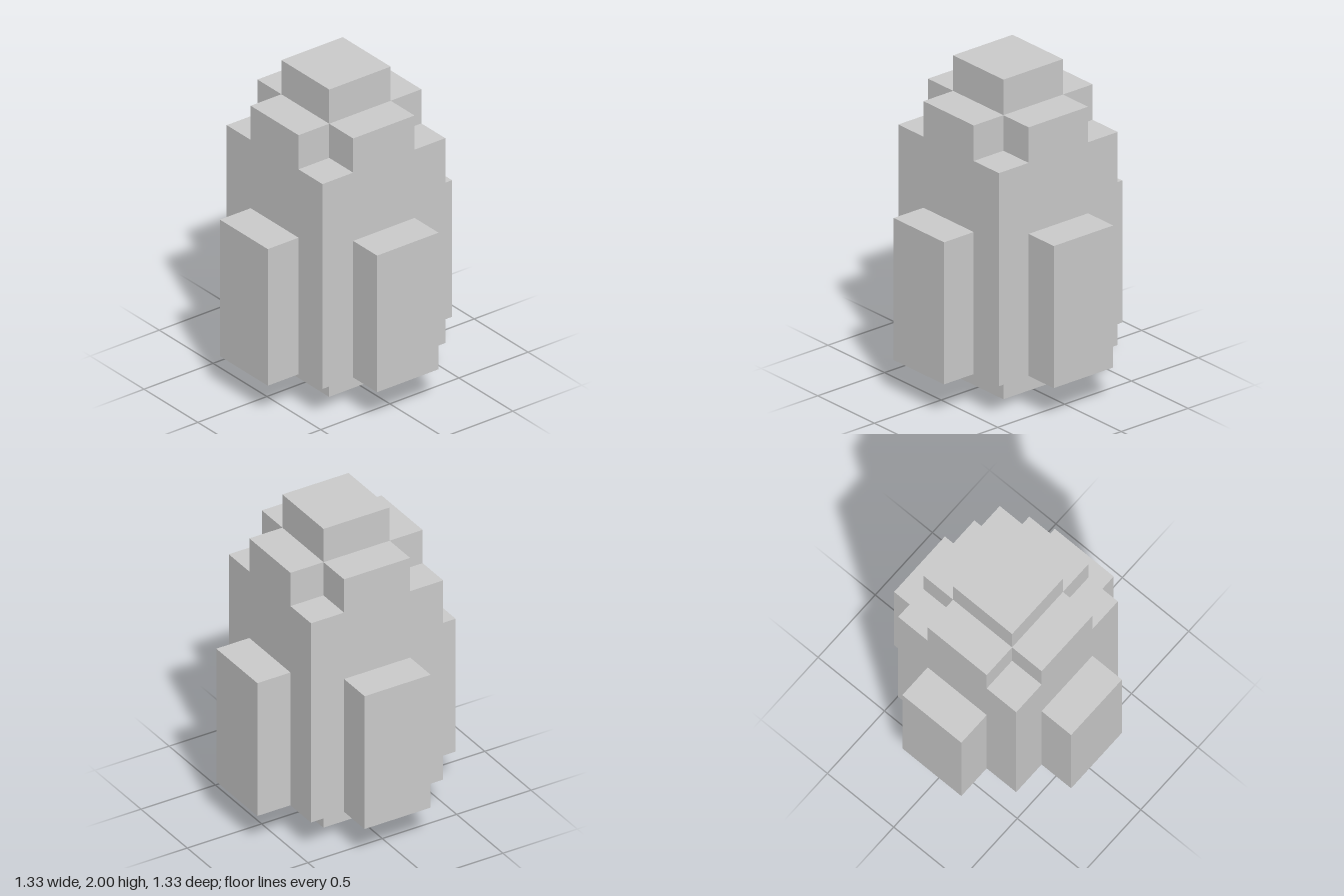
import * as THREE from 'three';

// The model sits on a grid nine units tall.
const U = 2 / 9;

export function createModel() {
  const group = new THREE.Group();
  const material = new THREE.MeshStandardMaterial({ color: 0xcccccc, flatShading: true });

  // Box given by its size, bottom height and horizontal centre, in grid units.
  function block(name, w, h, d, bottom, x = 0, z = 0) {
    const mesh = new THREE.Mesh(new THREE.BoxGeometry(w * U, h * U, d * U), material);
    mesh.name = name;
    mesh.position.set(x * U, (bottom + h / 2) * U, z * U);
    group.add(mesh);
  }

  block('base', 2, 1, 2, 0);
  block('body', 4, 6, 4, 1);
  block('topCap', 2, 1, 2, 8);

  // Plus-shaped step with notched corners
  const corners = [[1, 2], [1, 1], [2, 1], [2, -1], [1, -1], [1, -2],
    [-1, -2], [-1, -1], [-2, -1], [-2, 1], [-1, 1], [-1, 2]];
  const plus = new THREE.Shape(corners.map(([x, y]) => new THREE.Vector2(x * U, y * U)));
  const stepGeometry = new THREE.ExtrudeGeometry(plus, { depth: U, bevelEnabled: false });
  stepGeometry.rotateX(-Math.PI / 2);
  const step = new THREE.Mesh(stepGeometry, material);
  step.name = 'crossStep';
  step.position.y = 7 * U;
  group.add(step);

  // Raised panel on each of the four sides
  block('frontPanel', 2, 4, 1, 1, 0, 2.5);
  block('backPanel', 2, 4, 1, 1, 0, -2.5);
  block('leftPanel', 1, 4, 2, 1, 2.5, 0);
  block('rightPanel', 1, 4, 2, 1, -2.5, 0);

  return group;
}
